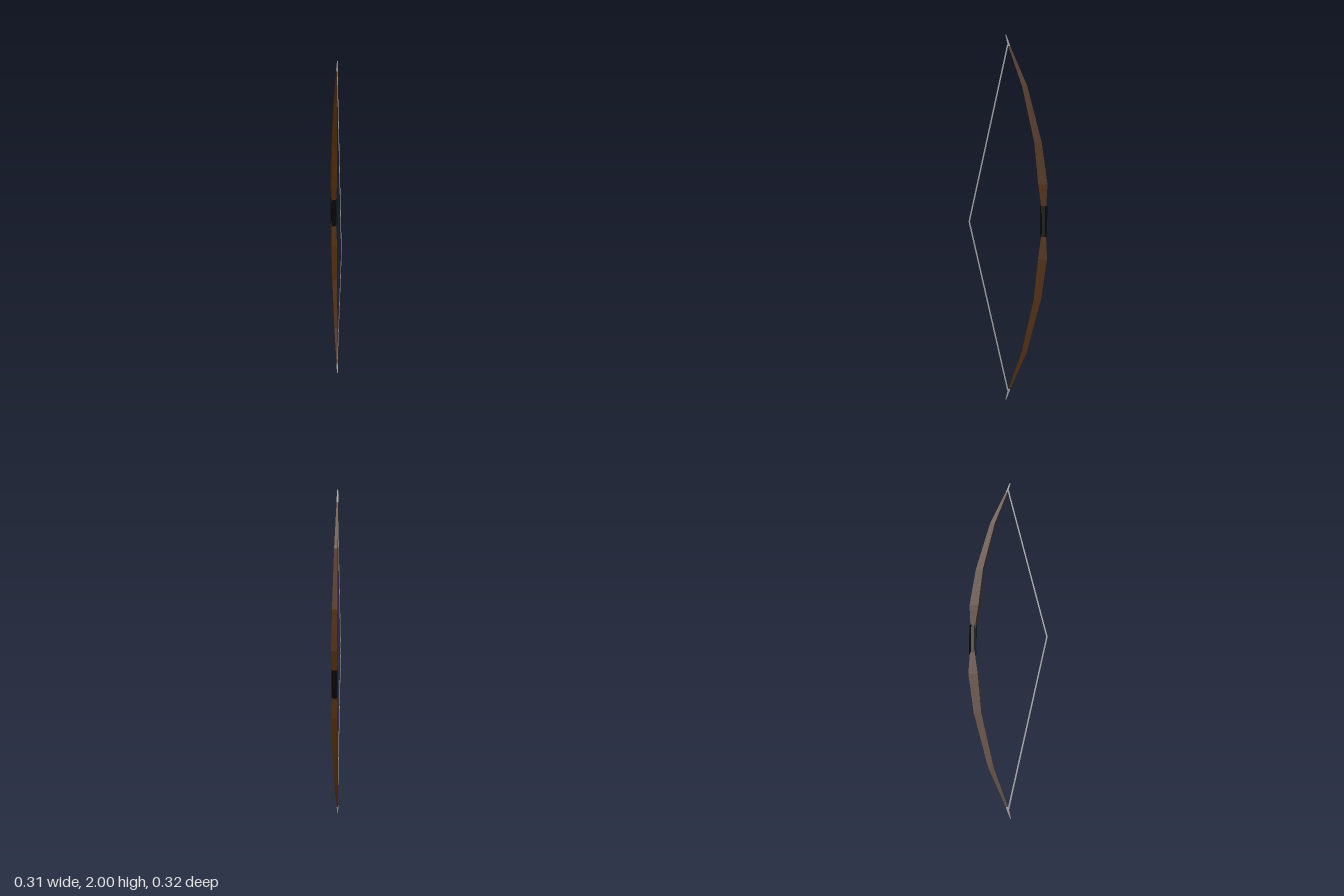
import * as THREE from 'three';

// Four-sided loft; each ring is [y, inner u, outer u, half width]
function loft(rings) {
  const corners = rings.map(([y, a, b, w]) => [[a, y, w], [b, y, w], [b, y, -w], [a, y, -w]]);
  const pos = [];
  const quad = (a, b, c, d) => [a, b, c, a, c, d].forEach((p) => pos.push(...p));
  for (let i = 0; i + 1 < corners.length; i++) {
    const lo = corners[i], hi = corners[i + 1];
    for (let k = 0; k < 4; k++) {
      const n = (k + 1) % 4;
      quad(lo[k], lo[n], hi[n], hi[k]);
    }
  }
  const first = corners[0], last = corners[corners.length - 1];
  quad(last[0], last[1], last[2], last[3]);
  quad(first[3], first[2], first[1], first[0]);
  const geo = new THREE.BufferGeometry();
  geo.setAttribute('position', new THREE.Float32BufferAttribute(pos, 3));
  geo.computeVertexNormals();
  return geo;
}

// Reflects a ring list about the grip height, keeping y ascending
const flip = (rings) => rings.map(([y, ...r]) => [2 - y, ...r]).reverse();

export function createModel() {
  const mat = (name, color) => {
    const m = new THREE.MeshStandardMaterial({ color, flatShading: true });
    m.name = name;
    return m;
  };
  const wood = mat('dark wood', 0x4d2a08);
  const leather = mat('black leather', 0x060606);
  const cord = mat('grey cord', 0x9a9a9a);

  const bow = new THREE.Group();
  bow.name = 'bow';
  const add = (name, geo, material) => {
    const mesh = new THREE.Mesh(geo, material);
    mesh.name = name;
    bow.add(mesh);
    return mesh;
  };

  // Limbs, grey tips and string halves, mirrored above and below the grip
  const limb = [
    [1.0, 0.174, 0.198, 0.011],
    [1.09, 0.172, 0.2, 0.013],
    [1.205, 0.156, 0.206, 0.016],
    [1.43, 0.134, 0.174, 0.0135],
    [1.73, 0.068, 0.096, 0.009],
    [1.945, -0.007, 0.003, 0.004],
  ];
  const tip = [
    [1.94, -0.007, 0.005, 0.0044],
    [1.97, -0.014, -0.005, 0.0038],
    [2.0, -0.021, -0.017, 0.002],
  ];
  const string = [
    [1.0, -0.222, -0.214, 0.0013],
    [1.95, -0.012, -0.004, 0.0013],
  ];
  for (const [side, shape] of [['upper', (r) => r], ['lower', flip]]) {
    add(side + 'Limb', loft(shape(limb)), wood);
    add(side + 'Tip', loft(shape(tip)), cord);
    add(side + 'String', loft(shape(string)), cord);
  }

  // Wrapped grip with an oval section
  const gripShape = new THREE.CylinderGeometry(0.0215, 0.0215, 0.168, 8);
  gripShape.rotateY(Math.PI / 8).scale(1, 1, 0.8);
  add('grip', gripShape, leather).position.set(0.186, 1.003, 0);

  // The bow stands turned about the vertical axis
  bow.rotation.y = 0.818;
  bow.position.set(-0.001, 0, -0.001);

  const model = new THREE.Group();
  model.name = 'model';
  model.add(bow);
  return model;
}
